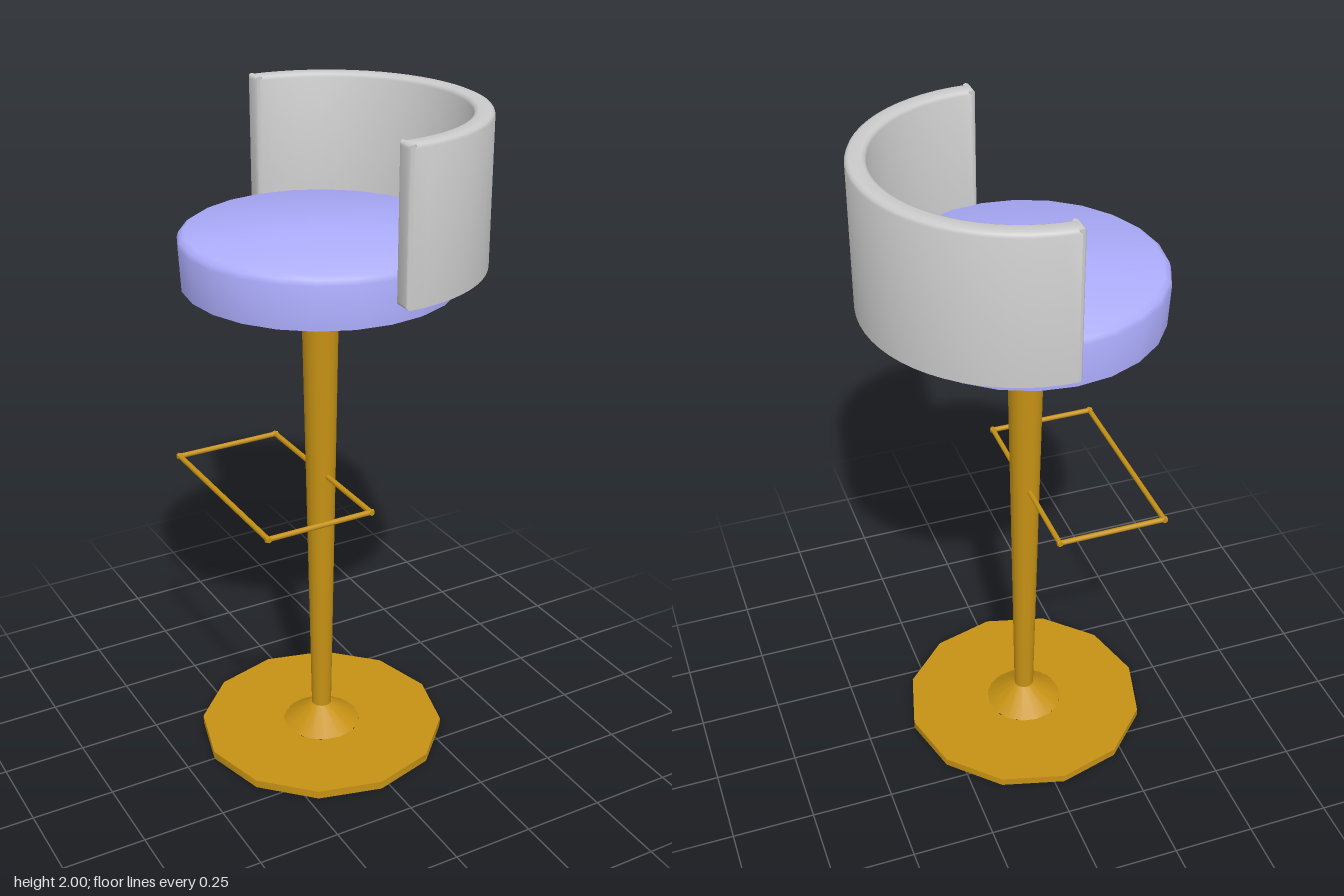
import * as THREE from 'three';
import { toCreasedNormals } from 'three/addons/utils/BufferGeometryUtils.js';

const CX = -0.03; // axis of the column

export function createModel() {
  const group = new THREE.Group();
  const gold = new THREE.MeshStandardMaterial({ color: 0xc69214, side: THREE.DoubleSide });
  const cushion = new THREE.MeshStandardMaterial({ color: 0xaeaeff });
  const grey = new THREE.MeshStandardMaterial({ color: 0xcccccc });

  const add = (name, geometry, material, x = 0, y = 0, z = 0, parent = group) => {
    const mesh = new THREE.Mesh(geometry, material);
    mesh.name = name;
    mesh.position.set(x, y, z);
    parent.add(mesh);
    return mesh;
  };
  const lathe = (pts, segments, crease, start = 0, length = Math.PI * 2) =>
    toCreasedNormals(new THREE.LatheGeometry(
      pts.map(([r, y]) => new THREE.Vector2(r, y)), segments, start, length), crease);

  // Floor plate, open underneath, and the flared collar above it
  add('basePlate', lathe([[0.12, 0], [0.38, 0], [0.38, 0.025], [0.12, 0.025], [0.12, 0]], 12, 0.6), gold, CX);
  add('baseCollar', lathe([[0.12, 0.025], [0.03, 0.09]], 16, 0.6), gold, CX);

  // Tapered column
  add('column', toCreasedNormals(new THREE.CylinderGeometry(0.055, 0.03, 1.47, 16), 0.6), gold, CX, 0.785);

  // Rectangular footrest of thin round rods
  const footrest = new THREE.Group();
  footrest.name = 'footrest';
  group.add(footrest);
  const R = 0.008, x0 = -0.355, x1 = CX, zf = 0.295;
  for (const x of [x0, x1])
    add('footrestBar', new THREE.CylinderGeometry(R, R, 2 * zf + 2 * R, 8).rotateX(Math.PI / 2), gold, x, 0.91, 0, footrest);
  for (const z of [-zf, zf])
    add('footrestArm', new THREE.CylinderGeometry(R, R, x1 - x0 + 2 * R, 8).rotateZ(Math.PI / 2), gold, (x0 + x1) / 2, 0.91, z, footrest);

  // Round seat with a softened top edge
  add('seat', lathe([[0, 1.51], [0.392, 1.51], [0.398, 1.635], [0.393, 1.65], [0.378, 1.66], [0, 1.66]], 24, 0.7), cushion, CX);

  // Half-round backrest: rounded section swept through 180 degrees
  const inner = 0.395, outer = 0.452, low = 1.565, high = 2, b = 0.012;
  const section = [[inner, low], [outer, low], [outer, high - b], [outer - b * 0.3, high - b * 0.3],
    [outer - b, high], [inner + b, high], [inner + b * 0.3, high - b * 0.3], [inner, high - b], [inner, low]];
  const backrest = new THREE.Group();
  backrest.name = 'backrest';
  group.add(backrest);
  add('backrestShell', lathe(section, 32, 0.9, 0, Math.PI), grey, CX + 0.02, 0, 0, backrest);

  // Bevelled ends closing the shell
  const endShape = new THREE.Shape();
  endShape.moveTo(inner + b, low + b);
  endShape.lineTo(outer - b, low + b);
  endShape.lineTo(outer - b, high - b);
  endShape.lineTo(inner + b, high - b);
  endShape.closePath();
  for (const side of [-1, 1]) {
    const end = new THREE.ExtrudeGeometry(endShape, {
      depth: 0.001, bevelThickness: b, bevelSize: b, bevelSegments: 3 });
    end.rotateY(-side * Math.PI / 2);
    add('backrestEnd', toCreasedNormals(end, 0.7), grey, CX + 0.02, 0, 0, backrest);
  }
  return group;
}
